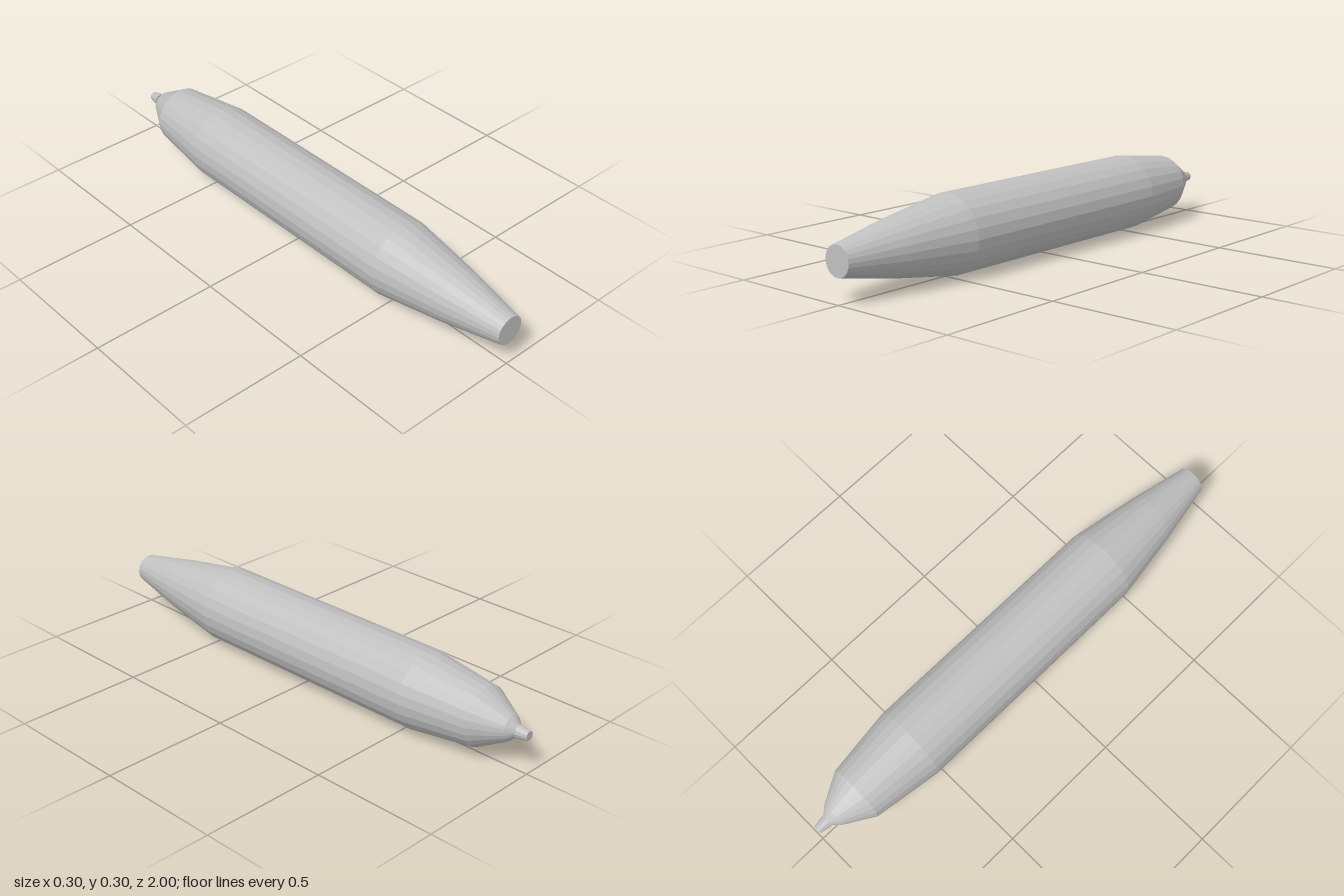
import * as THREE from 'three';

const AXIS_HEIGHT = 0.15;

// Faceted solid of revolution along z, from [radius, z] pairs running back to front
function turned(name, profile, sides, material) {
  const points = profile.map(([r, z]) => new THREE.Vector2(r, z));
  const geometry = new THREE.LatheGeometry(points, sides);
  geometry.rotateX(Math.PI / 2);
  const mesh = new THREE.Mesh(geometry, material);
  mesh.name = name;
  mesh.position.y = AXIS_HEIGHT;
  return mesh;
}

export function createModel() {
  const group = new THREE.Group();
  group.name = 'taperedTank';

  const grey = new THREE.MeshStandardMaterial({ color: 0xc0c0c0, flatShading: true });
  grey.name = 'light grey';

  // Long hull: rounded tail, straight barrel, tapered nose with a flat end
  group.add(turned('hull', [
    [0, -0.96], [0.016, -0.957], [0.048, -0.925], [0.114, -0.81], [0.15, -0.54],
    [0.15, 0.48], [0.105, 0.76], [0.057, 1], [0, 1],
  ], 24, grey));

  // Small flared stub at the tail
  group.add(turned('tailStub', [
    [0, -1], [0.018, -1], [0.026, -0.955], [0, -0.955],
  ], 12, grey));

  return group;
}
